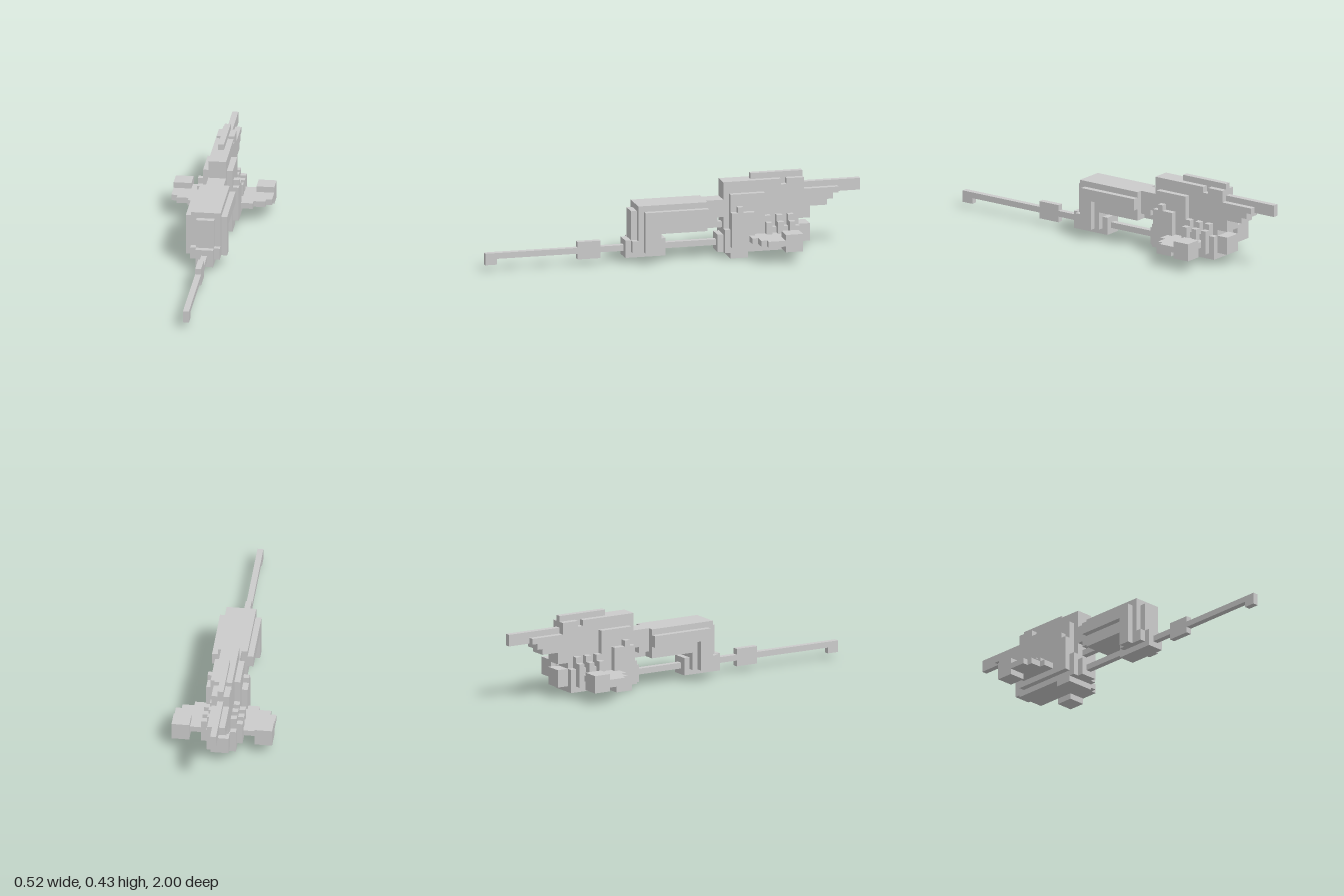
import * as THREE from 'three';

// Everything sits on a grid of cubes: 65 long, 14 high, 17 wide.
const U = 2 / 65;
const material = new THREE.MeshStandardMaterial({ color: 0xcccccc, flatShading: true });

export function createModel() {
  const model = new THREE.Group();

  // One block: x range, y range and k range (k counts cubes back from the front tip).
  function block(name, x0, x1, y0, y1, k0, k1) {
    const geometry = new THREE.BoxGeometry((x1 - x0) * U, (y1 - y0) * U, (k1 - k0) * U);
    const mesh = new THREE.Mesh(geometry, material);
    mesh.position.set((x0 + x1) / 2 * U, (y0 + y1) / 2 * U, 1 - (k0 + k1) / 2 * U);
    mesh.name = name;
    model.add(mesh);
  }
  const centre = (name, half, ...r) => block(name, -half, half, ...r);
  const pair = (name, x0, x1, ...r) => {
    block(name + 'Left', x0, x1, ...r);
    block(name + 'Right', -x1, -x0, ...r);
  };

  // Long barrel running back under the cabin
  centre('barrel', 0.5, 2, 3, 0, 41);
  centre('muzzle', 0.5, 1, 2, 0, 2);
  centre('barrelCollar', 0.5, 1, 4, 16, 20);
  centre('barrelMount', 1.5, 1, 4, 24, 31);

  // Front cabin with its raised front panel and bent side plates
  centre('frontPanel', 1.5, 4, 9, 25, 26);
  centre('cabinRoof', 2.5, 5, 10, 26, 38);
  centre('cabinFront', 2.5, 2, 5, 26, 30);
  pair('mountCheek', 1.5, 2.5, 2, 4, 25, 26);
  pair('sidePlateTop', 2.5, 3.5, 7, 9, 27, 38);
  pair('sidePlateLeg', 2.5, 3.5, 2, 7, 27, 29);

  // Stepped neck between cabin and hull
  centre('neck', 1.5, 7, 10, 38, 41);
  centre('neckStep', 1.5, 6, 7, 38, 40);
  centre('neckCore', 0.5, 5, 6, 38, 41);

  // Lower hull
  centre('hullNose', 1.5, 1, 4, 40, 41);
  centre('hullBase', 2.5, 1, 5, 41, 54);
  centre('hullFoot', 2.5, 0, 1, 42, 45);
  pair('hullFlank', 2.5, 3.5, 2, 4, 42, 53);
  centre('hullRear', 1.5, 5, 6, 41, 54);

  // Upper hull and dorsal fin
  centre('upperHull', 1.5, 6, 12, 41, 55);
  centre('dorsalPlateFront', 1.5, 12, 13, 41, 51);
  centre('dorsalPlateRear', 1.5, 12, 13, 52, 55);
  centre('dorsalFin', 0.5, 12, 14, 46, 55);
  pair('shoulder', 1.5, 2.5, 5, 11, 42, 48);
  pair('shoulderPlate', 2.5, 3.5, 4, 8, 42, 46);
  pair('frontRib', 2.5, 3.5, 8, 9, 43, 44);

  // Row of ribs along the rear flank
  for (const k of [48, 50, 52]) {
    pair('rearRib', 1.5, 2.5, 5, 7, k, k + 1);
    pair('rearRibFoot', 2.5, 3.5, 4, 6, k, k + 1);
  }

  // Tail boom with stepped underside
  centre('tailBoom', 0.5, 10, 12, 55, 65);
  [[10, 11, 61], [9, 10, 60], [8, 9, 59], [6, 8, 56]].forEach(([y0, y1, k1]) =>
    centre('tailStep', 1.5, y0, y1, 55, k1));

  // Stepped wings and the three engine cubes
  pair('wingInner', 3.5, 5.5, 3, 4, 45, 52);
  pair('wingMiddle', 5.5, 7.5, 3, 4, 46, 50);
  pair('wingTip', 7.5, 8.5, 3, 4, 47, 50);
  pair('wingEngine', 5.5, 8.5, 2, 5, 50, 53);
  centre('rearEngine', 1.5, 2, 5, 54, 56);

  return model;
}
